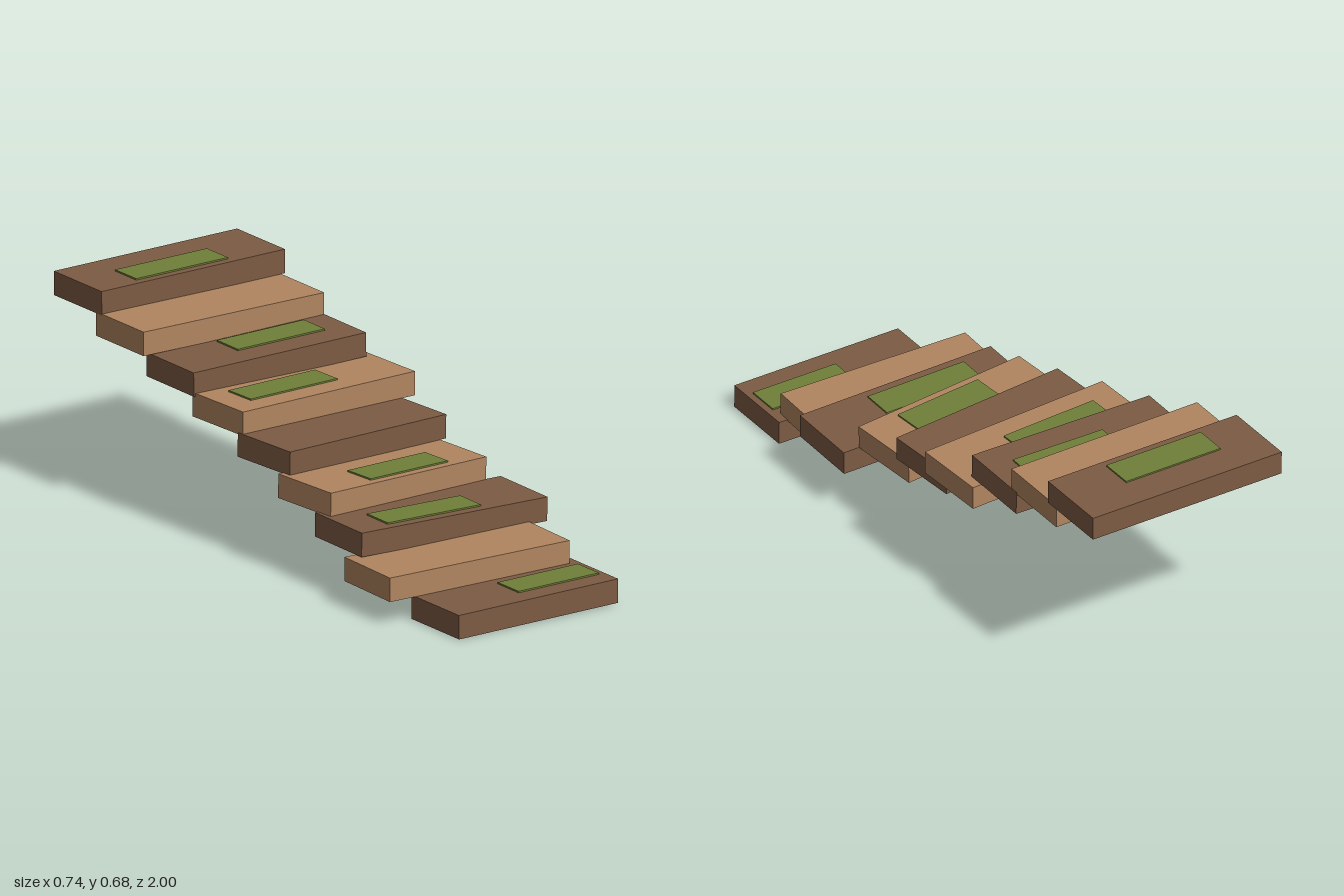
import * as THREE from 'three';

const darkWood = new THREE.MeshStandardMaterial({ color: 0x7c5b43 });
darkWood.name = 'dark wood';
const lightWood = new THREE.MeshStandardMaterial({ color: 0xb08560 });
lightWood.name = 'light wood';
const moss = new THREE.MeshStandardMaterial({ color: 0x6f8038 });
moss.name = 'moss green';

const PLANK_HEIGHT = 0.077;
const PLANK_DEPTH = 0.25;
const MOSS_DEPTH = 0.11;
const MOSS_HEIGHT = 0.009;

// Planks from the lowest, at the front, to the highest, at the back.
// moss: [x offset, z offset, width] in the plank's own frame
const planks = [
  { width: 0.597, pos: [0.02, 0.0445, 0.871], yaw: -0.009, roll: 0.008, moss: [0.126, 0, 0.301] },
  { width: 0.66, pos: [-0.037, 0.1195, 0.65], yaw: -0.04, roll: 0.002 },
  { width: 0.69, pos: [0.022, 0.193, 0.435], yaw: -0.022, roll: -0.017, moss: [-0.054, 0.038, 0.347] },
  { width: 0.619, pos: [-0.004, 0.267, 0.217], yaw: 0.068, roll: -0.02, moss: [0.026, 0.042, 0.308] },
  { width: 0.62, pos: [0.002, 0.343, 0], yaw: 0.065, roll: -0.013 },
  { width: 0.668, pos: [0.017, 0.4165, -0.219], yaw: 0.038, roll: -0.005, moss: [-0.076, -0.006, 0.336] },
  { width: 0.644, pos: [-0.004, 0.49, -0.435], yaw: -0.015, roll: 0.014, moss: [0.071, -0.023, 0.325] },
  { width: 0.678, pos: [-0.02, 0.565, -0.653], yaw: -0.008, roll: -0.002 },
  { width: 0.69, pos: [-0.013, 0.6405, -0.873], yaw: -0.005, roll: 0.007, moss: [-0.023, 0.043, 0.345] },
];

function box(name, width, height, depth, material) {
  const mesh = new THREE.Mesh(new THREE.BoxGeometry(width, height, depth), material);
  mesh.name = name;
  return mesh;
}

export function createModel() {
  const model = new THREE.Group();
  model.name = 'plankStairs';

  planks.forEach((p, i) => {
    const step = new THREE.Group();
    step.name = `step${i + 1}`;
    step.position.set(...p.pos);
    step.rotation.set(0, p.yaw, p.roll, 'YXZ');

    // Alternating wooden tread
    step.add(box('plank', p.width, PLANK_HEIGHT, PLANK_DEPTH, i % 2 ? lightWood : darkWood));

    // Thin moss patch, partly sunk into the tread
    if (p.moss) {
      const [x, z, width] = p.moss;
      const patch = box('mossPatch', width, MOSS_HEIGHT, MOSS_DEPTH, moss);
      patch.position.set(x, PLANK_HEIGHT / 2 + 0.0005, z);
      step.add(patch);
    }
    model.add(step);
  });

  return model;
}
